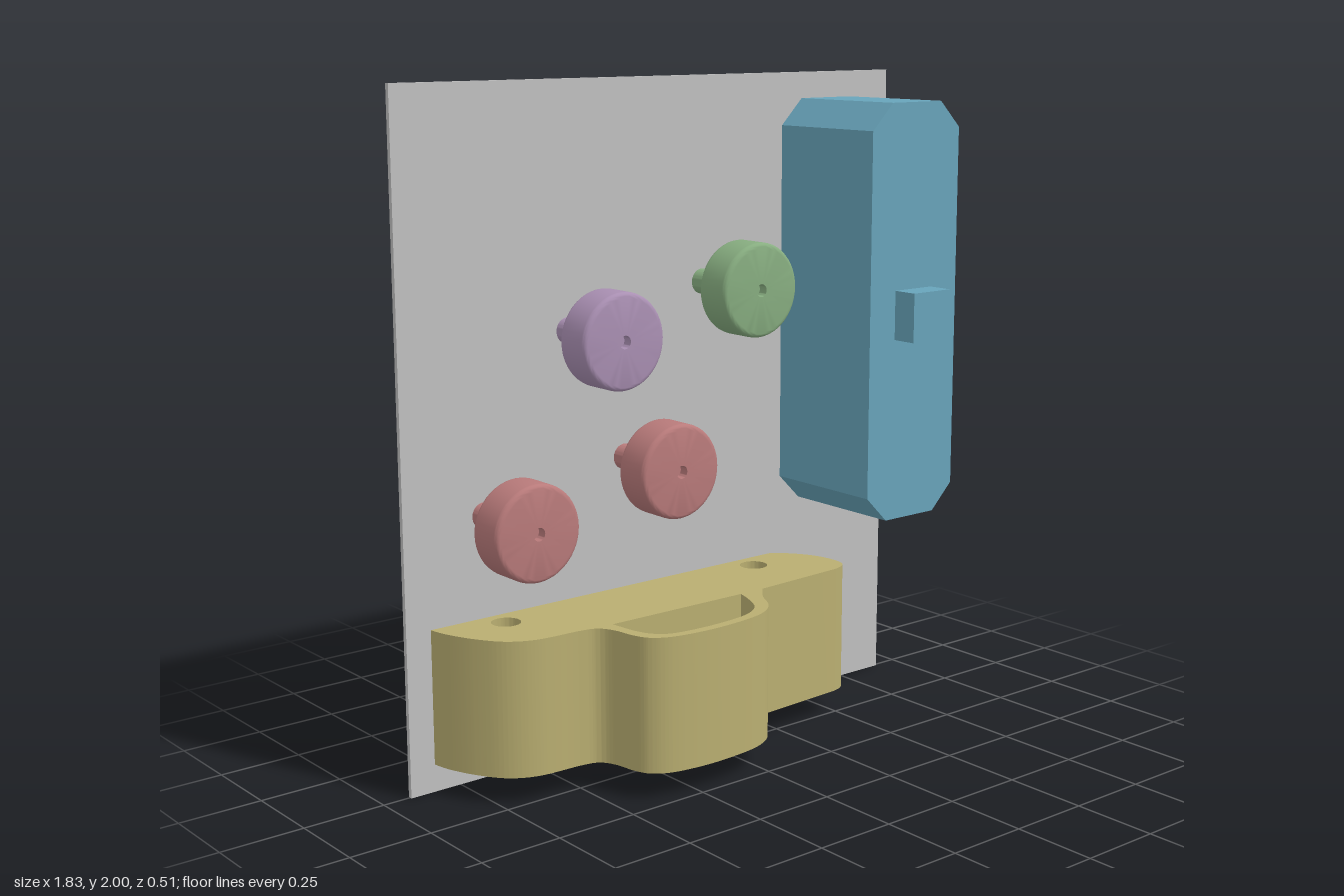
import * as THREE from 'three';
import { toCreasedNormals } from 'three/addons/utils/BufferGeometryUtils.js';

const material = (name, color) => {
  const m = new THREE.MeshStandardMaterial({ color });
  m.name = name;
  return m;
};
const V = (x, y) => new THREE.Vector2(x, y);
const BACK = -0.242; // front surface of the back panel

// Lathed knob: stem, filleted disc and a small centre hole, axis along z
function knobGeometry() {
  const r = 0.14, f = 0.016, z0 = -0.085, z1 = 0.035;
  const pts = [V(0, BACK), V(0.038, BACK), V(0.038, z0), V(r - f, z0)];
  const arc = (cy, start) => {
    for (let i = 1; i <= 5; i++) {
      const a = start + (i / 5) * Math.PI / 2;
      pts.push(V(r - f + f * Math.cos(a), cy + f * Math.sin(a)));
    }
  };
  arc(z0 + f, -Math.PI / 2);
  pts.push(V(r, z1 - f));
  arc(z1 - f, 0);
  pts.push(V(0.019, z1), V(0.019, z1 - 0.03), V(0, z1 - 0.03));
  const geo = new THREE.LatheGeometry(pts, 48);
  geo.rotateX(Math.PI / 2);
  return toCreasedNormals(geo, 0.6);
}

// Handle block: plan outline (x, z) extruded upwards, with grip opening and screw holes
function handleGeometry() {
  const p = (x, z) => V(x, -z);
  const s = new THREE.Shape();
  s.moveTo(-0.835, -BACK);
  s.splineThru([p(-0.822, -0.18), p(-0.785, -0.095), p(-0.73, -0.02), p(-0.65, 0.02), p(-0.52, 0.03),
    p(-0.465, 0.045), p(-0.438, 0.09), p(-0.425, 0.16), p(-0.4, 0.208), p(-0.34, 0.24), p(-0.22, 0.255),
    p(-0.08, 0.247), p(0.005, 0.222), p(0.06, 0.175), p(0.1, 0.105), p(0.15, 0.045)]);
  s.lineTo(0.46, -0.027);
  s.bezierCurveTo(0.515, -0.02, 0.535, 0.0, 0.535, 0.05);
  s.bezierCurveTo(0.535, 0.13, 0.49, 0.2, 0.43, -BACK);
  s.closePath();

  const grip = new THREE.Path();
  grip.moveTo(0.065, -0.045);
  grip.splineThru([p(0.048, 0.1), p(0.015, 0.165), p(-0.04, 0.205), p(-0.12, 0.222), p(-0.22, 0.226),
    p(-0.32, 0.216), p(-0.37, 0.186), p(-0.396, 0.13), p(-0.408, 0.04)]);
  grip.closePath();
  s.holes.push(grip);
  for (const x of [-0.63, 0.3]) {
    const hole = new THREE.Path();
    hole.absarc(x, 0.17, 0.043, 0, Math.PI * 2, true);
    s.holes.push(hole);
  }
  const geo = new THREE.ExtrudeGeometry(s, { depth: 0.4, bevelEnabled: false, curveSegments: 48 });
  geo.rotateX(-Math.PI / 2);
  return toCreasedNormals(geo, 0.6);
}

export function createModel() {
  const model = new THREE.Group();
  const grey = material('panel grey', 0xc0c0c0);
  const blue = material('housing blue', 0x68a4ba);
  const yellow = material('handle yellow', 0xb9ae71);
  const red = material('knob red', 0xb87a7a);
  const purple = material('knob purple', 0xa98fb2);
  const green = material('knob green', 0x87ad80);

  const add = (name, geo, mat, x, y, z) => {
    const mesh = new THREE.Mesh(geo, mat);
    mesh.name = name;
    mesh.position.set(x, y, z);
    model.add(mesh);
  };

  // Back panel
  add('backPanel', new THREE.BoxGeometry(1.83, 2, 0.014), grey, 0, 1, BACK - 0.007);

  // Housing with chamfered corners
  const w = 0.181, h = 0.635, c = 0.08;
  const outline = new THREE.Shape([
    V(-w + c, -h), V(w - c, -h), V(w, -h + c), V(w, h - c),
    V(w - c, h), V(-w + c, h), V(-w, h - c), V(-w, -h + c),
  ]);
  add('housing', new THREE.ExtrudeGeometry(outline, { depth: 0.16 - BACK, bevelEnabled: false }),
    blue, 0.652, 1.285, BACK);
  add('housingButton', new THREE.BoxGeometry(0.15, 0.15, 0.08), blue, 0.65, 1.285, 0.2);

  // Knobs on stems
  const knob = knobGeometry();
  add('purpleKnob', knob, purple, -0.35, 1.285, 0);
  add('greenKnob', knob, green, 0.15, 1.385, 0);
  add('lowerRedKnob', knob, red, -0.65, 0.785, 0);
  add('upperRedKnob', knob, red, -0.15, 0.885, 0);

  // Handle block
  add('handleBlock', handleGeometry(), yellow, 0, 0.082, 0);

  return model;
}
